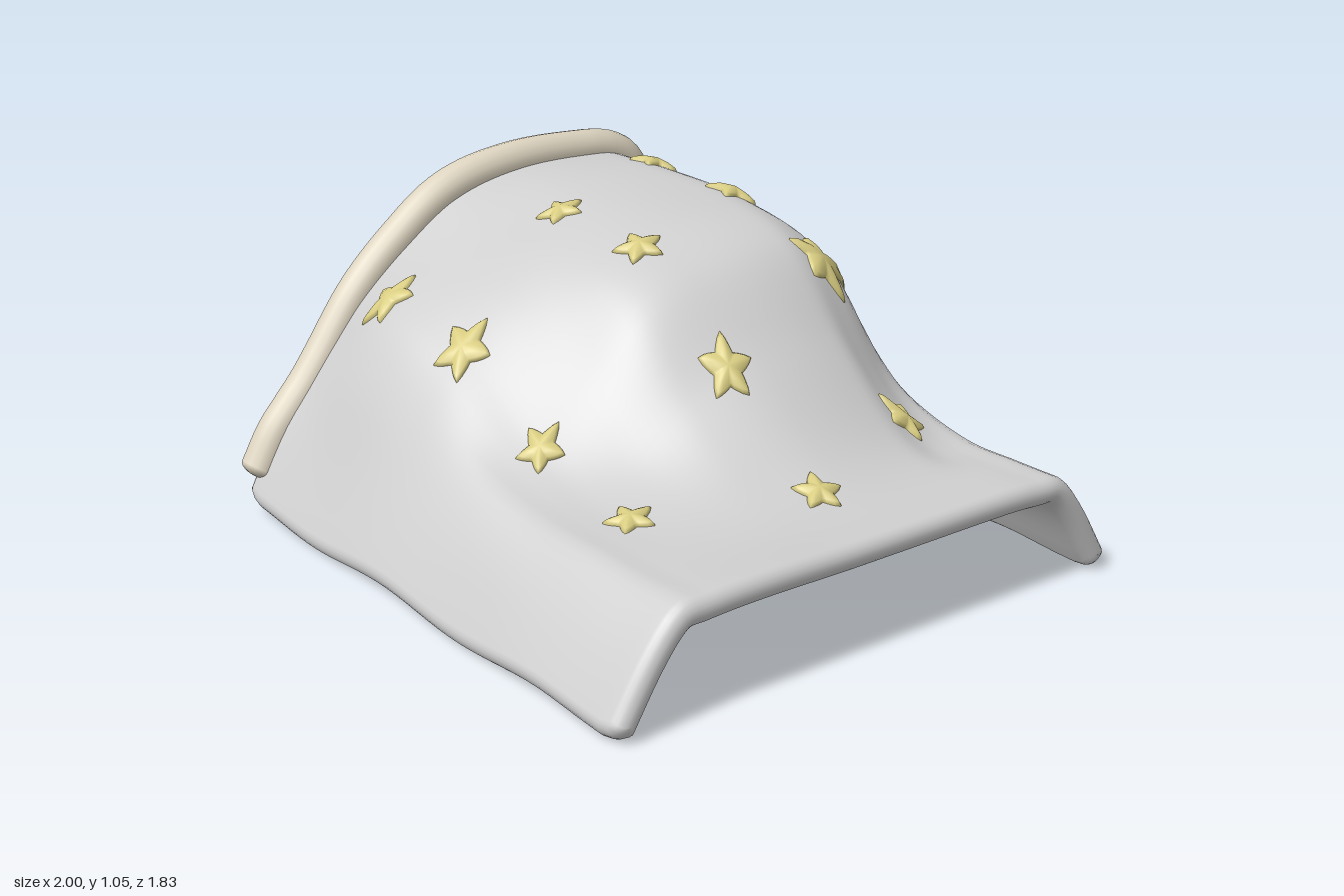
import * as THREE from 'three';
import { mergeVertices } from 'three/addons/utils/BufferGeometryUtils.js';

// Draped height of the cloth: rows run along x, columns from front (+z) to back (-z)
const ZS = [0.92, 0.8, 0.7, 0.6, 0.5, 0.35, 0.15, -0.1, -0.4, -0.52, -0.6, -0.7, -0.8, -0.92];
const XS = [-0.95, -0.6, -0.25, 0.1, 0.35, 0.6, 0.8, 1];
const ROWS = [
  [0.03, 0.25, 0.36, 0.48, 0.61, 0.76, 0.91, 0.97, 0.97, 0.95, 0.88, 0.61, 0.33, 0.03],
  [0.03, 0.26, 0.47, 0.62, 0.7, 0.78, 0.87, 0.95, 0.975, 0.95, 0.87, 0.6, 0.32, 0.03],
  [0.03, 0.25, 0.42, 0.55, 0.63, 0.75, 0.87, 0.94, 0.955, 0.93, 0.85, 0.58, 0.31, 0.03],
  [0.03, 0.24, 0.36, 0.4, 0.45, 0.58, 0.78, 0.86, 0.88, 0.83, 0.76, 0.54, 0.3, 0.03],
  [0.03, 0.23, 0.33, 0.345, 0.36, 0.42, 0.55, 0.64, 0.63, 0.54, 0.47, 0.4, 0.26, 0.03],
  [0.03, 0.22, 0.325, 0.335, 0.34, 0.36, 0.4, 0.435, 0.41, 0.36, 0.345, 0.33, 0.23, 0.03],
  [0.03, 0.22, 0.32, 0.33, 0.335, 0.34, 0.345, 0.35, 0.345, 0.34, 0.335, 0.325, 0.22, 0.03],
  [0.04, 0.22, 0.325, 0.34, 0.345, 0.345, 0.34, 0.34, 0.345, 0.345, 0.34, 0.325, 0.22, 0.04],
];

// Smooth interpolation through unevenly spaced samples
function spline(ts, vs, t) {
  const n = ts.length, dir = Math.sign(ts[n - 1] - ts[0]);
  let i = 0;
  while (i < n - 2 && (t - ts[i + 1]) * dir > 0) i++;
  const slope = (k) => {
    const a = Math.max(k - 1, 0), b = Math.min(k + 1, n - 1);
    return (vs[b] - vs[a]) / (ts[b] - ts[a]);
  };
  const w = ts[i + 1] - ts[i], s = (t - ts[i]) / w, s2 = s * s, s3 = s2 * s;
  return (2 * s3 - 3 * s2 + 1) * vs[i] + (s3 - 2 * s2 + s) * w * slope(i)
    + (3 * s2 - 2 * s3) * vs[i + 1] + (s3 - s2) * w * slope(i + 1);
}

function height(x, z) {
  const y = spline(XS, ROWS.map((row) => spline(ZS, row, z)), x);
  const hem = THREE.MathUtils.smoothstep(Math.abs(z), 0.7, 0.92);
  return y - hem * 0.012 * Math.cos((x + 0.55) * 7.9);
}

// Point on the cloth, moved along its normal
function drape(x, z, lift) {
  const e = 0.012;
  const n = new THREE.Vector3(
    -(height(x + e, z) - height(x - e, z)) / (2 * e), 1,
    -(height(x, z + e) - height(x, z - e)) / (2 * e)).normalize();
  return new THREE.Vector3(x, height(x, z), z).addScaledVector(n, lift);
}

function build(positions, index) {
  let g = new THREE.BufferGeometry();
  g.setAttribute('position', new THREE.Float32BufferAttribute(positions, 3));
  g.setIndex(index);
  g = mergeVertices(g, 1e-5);
  g.computeVertexNormals();
  return g;
}

// Samples from a to b, with extra ones where the rim rounds off
function samples(a, b, rim, count) {
  const dir = Math.sign(b - a), out = [], rimSteps = 5;
  const edge = (k) => rim * (1 - Math.cos((k / rimSteps) * Math.PI / 2));
  for (let k = 0; k < rimSteps; k++) out.push(a + dir * edge(k));
  for (let k = 0; k <= count; k++) out.push(a + dir * rim + (b - a - 2 * dir * rim) * k / count);
  for (let k = rimSteps - 1; k >= 0; k--) out.push(b - dir * edge(k));
  return out;
}

// Thick cloth: upper and lower sheets that meet in a rounded rim, with rounded corners
function clothGeometry() {
  const half = 0.04, rimX = 0.04, rimZ = 0.02;
  const xs = samples(-0.95, 1, rimX, 52), zs = samples(0.92, -0.92, rimZ, 64);
  const pos = [], idx = [], nz = zs.length, sheet = xs.length * nz;
  const round = (d) => Math.sqrt(Math.max(0, 1 - (1 - THREE.MathUtils.clamp(d, 0, 1)) ** 2));
  for (const side of [1, -1]) {
    for (const x of xs) for (const z of zs) {
      const end = Math.min(x + 0.95, 1 - x), dz = (0.92 - Math.abs(z)) / rimZ;
      const h = half * Math.min(round(end / rimX), round(dz));
      const corner = 1 - 0.03 * (1 - round(end / 0.08)) * THREE.MathUtils.smoothstep(Math.abs(z), 0.72, 0.92);
      const p = drape(x, z * corner, -half + side * h);
      pos.push(p.x, Math.max(p.y, 0), p.z);
    }
  }
  for (let i = 0; i < xs.length - 1; i++) for (let j = 0; j < nz - 1; j++) {
    const a = i * nz + j, b = a + nz, c = b + 1, d = a + 1;
    idx.push(a, b, d, b, c, d);
    idx.push(a + sheet, d + sheet, b + sheet, b + sheet, d + sheet, c + sheet);
  }
  return build(pos, idx);
}

// Puffy five-pointed star that follows the cloth; its rear tip can be drawn out
function starGeometry(cx, cz, radius, turn, stretch = 1) {
  const rings = [[1, -0.012], [1, 0.004], [0.88, 0.012], [0.5, 0.02]], steps = 40;
  const pos = [], idx = [];
  for (const [scale, lift] of rings) for (let k = 0; k < steps; k++) {
    const t = (k / steps) * Math.PI * 2 + Math.PI / 2 + turn;
    const f = Math.abs(((k % 8) / 4) - 1);
    const tip = k % 8 === 0 ? 0.95 : 0.5 / (0.5 + 0.5 * (1 - f));
    const rear = Math.max(0, 1 - Math.min(k, steps - k) / 4);
    const r = radius * scale * tip * (1 + (stretch - 1) * rear);
    pos.push(...drape(cx + r * Math.cos(t), cz - r * Math.sin(t), lift).toArray());
  }
  pos.push(...drape(cx, cz, 0.025).toArray());
  const centre = rings.length * steps;
  for (let k = 0; k < steps; k++) {
    const m = (k + 1) % steps;
    for (let r = 0; r < rings.length - 1; r++) {
      const a = r * steps + k, b = r * steps + m;
      idx.push(a, b, a + steps, b, b + steps, a + steps);
    }
    const last = (rings.length - 1) * steps;
    idx.push(last + k, last + m, centre);
  }
  return build(pos, idx);
}

export function createModel() {
  const group = new THREE.Group();
  group.name = 'blanket';
  const material = (name, color) => {
    const m = new THREE.MeshStandardMaterial({ color });
    m.name = name;
    return m;
  };
  const grey = material('grey cloth', 0xd0d0d0);
  const cream = material('cream trim', 0xdcd3bf);
  const gold = material('soft gold', 0xd9cd82);
  const add = (name, geometry, mat) => {
    const mesh = new THREE.Mesh(geometry, mat);
    mesh.name = name;
    group.add(mesh);
    return mesh;
  };

  add('cloth', clothGeometry(), grey);

  // Rolled trim along the raised end
  const trimX = -0.935, trimR = 0.065, path = [];
  for (let k = 0; k <= 28; k++) {
    const z = 0.868 - 1.736 * k / 28;
    path.push(drape(trimX, z, 0.008 - 0.022 * THREE.MathUtils.smoothstep(Math.abs(z), 0.4, 0.8)));
  }
  const curve = new THREE.CatmullRomCurve3(path);
  add('trim', new THREE.TubeGeometry(curve, 90, trimR, 16), cream);
  for (const t of [0, 1]) {
    const cap = add('trimEnd', new THREE.SphereGeometry(trimR, 16, 12), cream);
    cap.position.copy(curve.getPointAt(t));
    cap.quaternion.setFromUnitVectors(new THREE.Vector3(0, 1, 0), curve.getTangentAt(t));
    cap.scale.y = 0.5;
  }

  // Three rows of stars: x, z, radius, turn, stretch of the rear tip
  const stars = [
    [-0.68, -0.51, 0.088, 0, 1.45], [-0.28, -0.51, 0.09, 0, 1.4],
    [0.13, -0.51, 0.095, 0.1, 1.35], [0.52, -0.51, 0.078, -0.2],
    [-0.48, 0.01, 0.082, 0], [-0.08, 0.01, 0.085, 0.05], [0.33, 0.01, 0.087, -0.1], [0.72, 0, 0.08, -0.08],
    [-0.68, 0.51, 0.095, 0], [-0.27, 0.51, 0.095, 0.1], [0.12, 0.51, 0.078, 0.2], [0.51, 0.49, 0.08, 0.1],
  ];
  for (const s of stars) add('star', starGeometry(...s), gold);
  return group;
}
